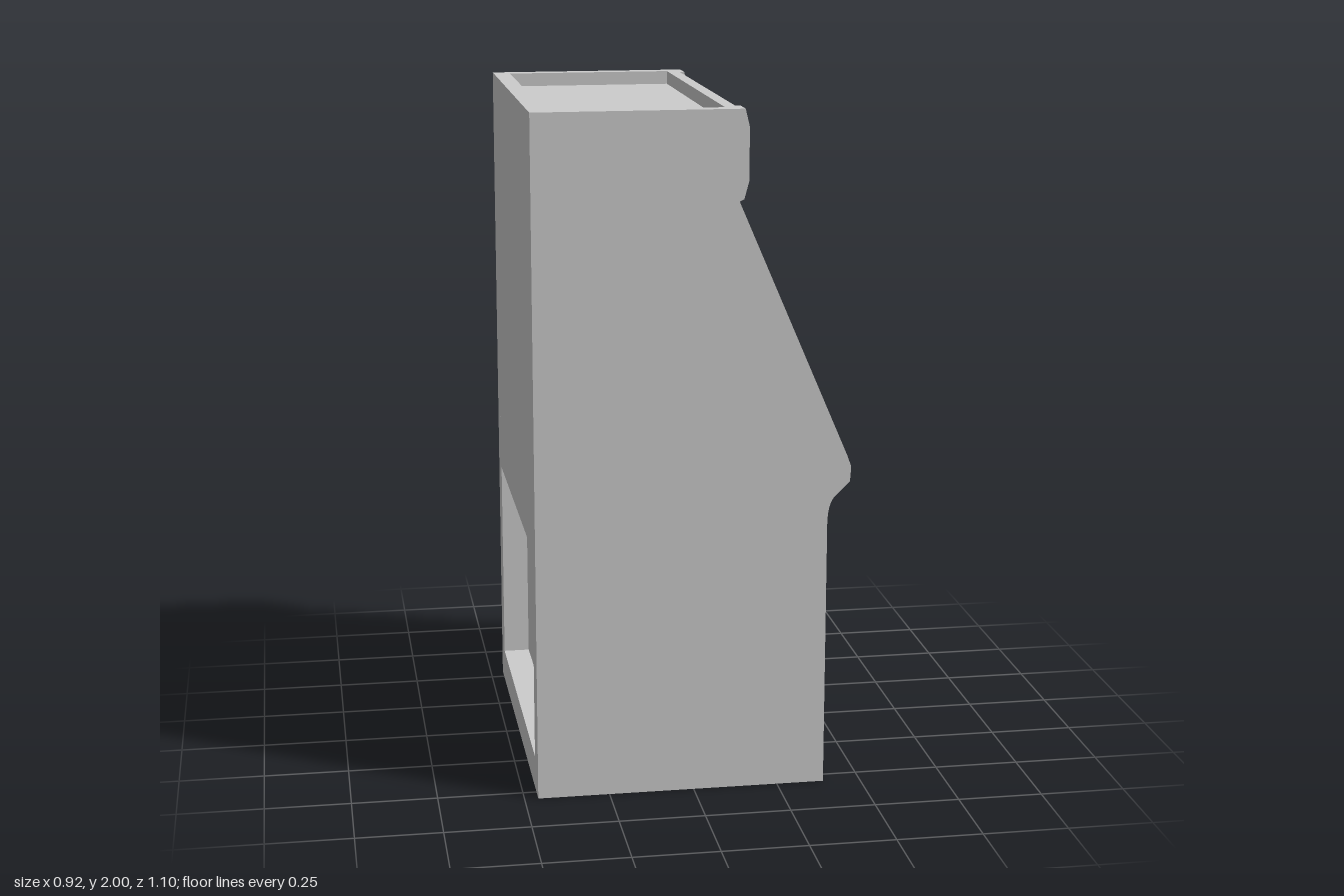
import * as THREE from 'three';
import { toCreasedNormals } from 'three/addons/utils/BufferGeometryUtils.js';

export function createModel() {
  const model = new THREE.Group();
  const grey = new THREE.MeshStandardMaterial({ color: 0xcccccc });
  grey.name = 'cabinet grey';

  function add(name, geometry, parent = model, x = 0, y = 0, z = 0) {
    const mesh = new THREE.Mesh(geometry, grey);
    mesh.name = name;
    mesh.position.set(x, y, z);
    parent.add(mesh);
    return mesh;
  }
  const box = (name, sx, sy, sz, x, y, z) => add(name, new THREE.BoxGeometry(sx, sy, sz), model, x, y, z);

  // Profile in x/y pulled along z from z0 to z1, rounded parts shaded smooth
  function slab(name, shape, z0, z1) {
    const geo = new THREE.ExtrudeGeometry(shape, { depth: z1 - z0, bevelEnabled: false, curveSegments: 10 });
    geo.translate(0, 0, z0);
    add(name, toCreasedNormals(geo, 0.5));
  }

  // Side panels: full outer layer, inner layer notched for the sunken roof
  function sideProfile(notched) {
    const s = new THREE.Shape();
    s.moveTo(-0.46, 0);
    s.lineTo(0.39, 0);
    s.lineTo(0.39, 0.8);
    s.quadraticCurveTo(0.392, 0.86, 0.412, 0.878);
    s.lineTo(0.455, 0.92);
    s.lineTo(0.458, 0.965);
    s.lineTo(0.445, 1.0);
    s.lineTo(0.125, 1.742);
    s.lineTo(0.138, 1.748);
    s.lineTo(0.152, 1.8);
    s.lineTo(0.152, 1.95);
    s.lineTo(0.14, 2);
    if (notched) {
      s.lineTo(0.09, 2);
      s.lineTo(0.09, 1.96);
      s.lineTo(-0.41, 1.96);
      s.lineTo(-0.41, 2);
    }
    s.lineTo(-0.46, 2);
    s.closePath();
    return s;
  }
  slab('leftSideOuter', sideProfile(false), 0.505, 0.55);
  slab('leftSideInner', sideProfile(true), 0.47, 0.505);
  slab('rightSideInner', sideProfile(true), -0.505, -0.47);
  slab('rightSideOuter', sideProfile(false), -0.55, -0.505);

  // Body between the sides: coved front, control deck, marquee, sunken roof and back
  const body = new THREE.Shape();
  body.moveTo(-0.46, 0);
  body.lineTo(0.345, 0);
  body.lineTo(0.345, 0.79);
  body.bezierCurveTo(0.345, 0.87, 0.375, 0.915, 0.435, 0.92);
  [[0.435, 0.965], [0.156, 0.965], [-0.177, 1.742], [0.125, 1.742], [0.125, 2], [0.09, 2],
    [0.09, 1.96], [-0.41, 1.96], [-0.41, 2], [-0.46, 2], [-0.46, 0.73], [-0.38, 0.73],
    [-0.38, 0.1], [-0.46, 0.1]].forEach(([x, y]) => body.lineTo(x, y));
  body.closePath();
  slab('cabinetBody', body, -0.47, 0.47);

  // Sloped bezel with a rectangular opening; local y runs up the slope
  const up = new THREE.Vector3(-0.333, 0.775, 0).normalize();
  const out = new THREE.Vector3(up.y, -up.x, 0);
  const display = new THREE.Group();
  display.name = 'display';
  display.setRotationFromMatrix(new THREE.Matrix4().makeBasis(new THREE.Vector3(0, 0, -1), up, out));
  display.position.set(0.2, 0.965, 0).addScaledVector(out, -0.04);
  model.add(display);

  const rect = (S, x, y0, y1) => {
    const s = new S();
    s.moveTo(-x, y0);
    s.lineTo(x, y0);
    s.lineTo(x, y1);
    s.lineTo(-x, y1);
    s.closePath();
    return s;
  };
  const bezel = rect(THREE.Shape, 0.47, 0, 0.844);
  bezel.holes.push(rect(THREE.Path, 0.333, 0.087, 0.767));
  add('screenBezel', new THREE.ExtrudeGeometry(bezel, { depth: 0.04, bevelEnabled: false }), display);

  // Slightly bulging screen
  const screen = new THREE.PlaneGeometry(0.666, 0.68, 16, 16);
  const p = screen.attributes.position;
  for (let i = 0; i < p.count; i++) {
    const a = p.getX(i) / 0.333, b = p.getY(i) / 0.34;
    p.setZ(i, 0.001 + 0.012 * (1 - a * a) * (1 - b * b));
  }
  screen.computeVertexNormals();
  add('screen', screen, display, 0, 0.427, 0);

  // Trackball: raised ring and ball
  const ring = [[0.052, 0], [0.052, 0.012], [0.046, 0.022], [0.041, 0.022], [0.037, 0.01], [0.037, 0]]
    .map(([r, y]) => new THREE.Vector2(r, y));
  add('trackballRing', toCreasedNormals(new THREE.LatheGeometry(ring, 24), 0.5), model, 0.365, 0.965, 0.01);
  const ball = new THREE.SphereGeometry(0.038, 24, 8, 0, Math.PI * 2, 0, Math.PI / 2);
  ball.scale(1, 0.65, 1);
  add('trackball', ball, model, 0.365, 0.965, 0.01);

  // Coin panel with two slots
  box('coinPanel', 0.014, 0.165, 0.44, 0.35, 0.678, 0.22);
  for (const z of [0.385, 0.237]) {
    box('coinSlot', 0.012, 0.01, 0.036, 0.361, 0.685, z);
    for (const side of [-1, 1]) box('coinSlotEnd', 0.018, 0.018, 0.006, 0.364, 0.685, z + side * 0.024);
  }

  // Cupboard doors and their curved pulls
  for (const [z, handleZ] of [[0.285, 0.15], [-0.055, 0.063]]) {
    box('door', 0.014, 0.52, z > 0 ? 0.31 : 0.29, 0.35, 0.31, z);
    const path = new THREE.CatmullRomCurve3([[0.355, 0.25], [0.378, 0.262], [0.382, 0.31], [0.378, 0.358], [0.355, 0.37]]
      .map(([x, y]) => new THREE.Vector3(x, y, handleZ)));
    add('doorHandle', new THREE.TubeGeometry(path, 20, 0.007, 8));
  }

  return model;
}
